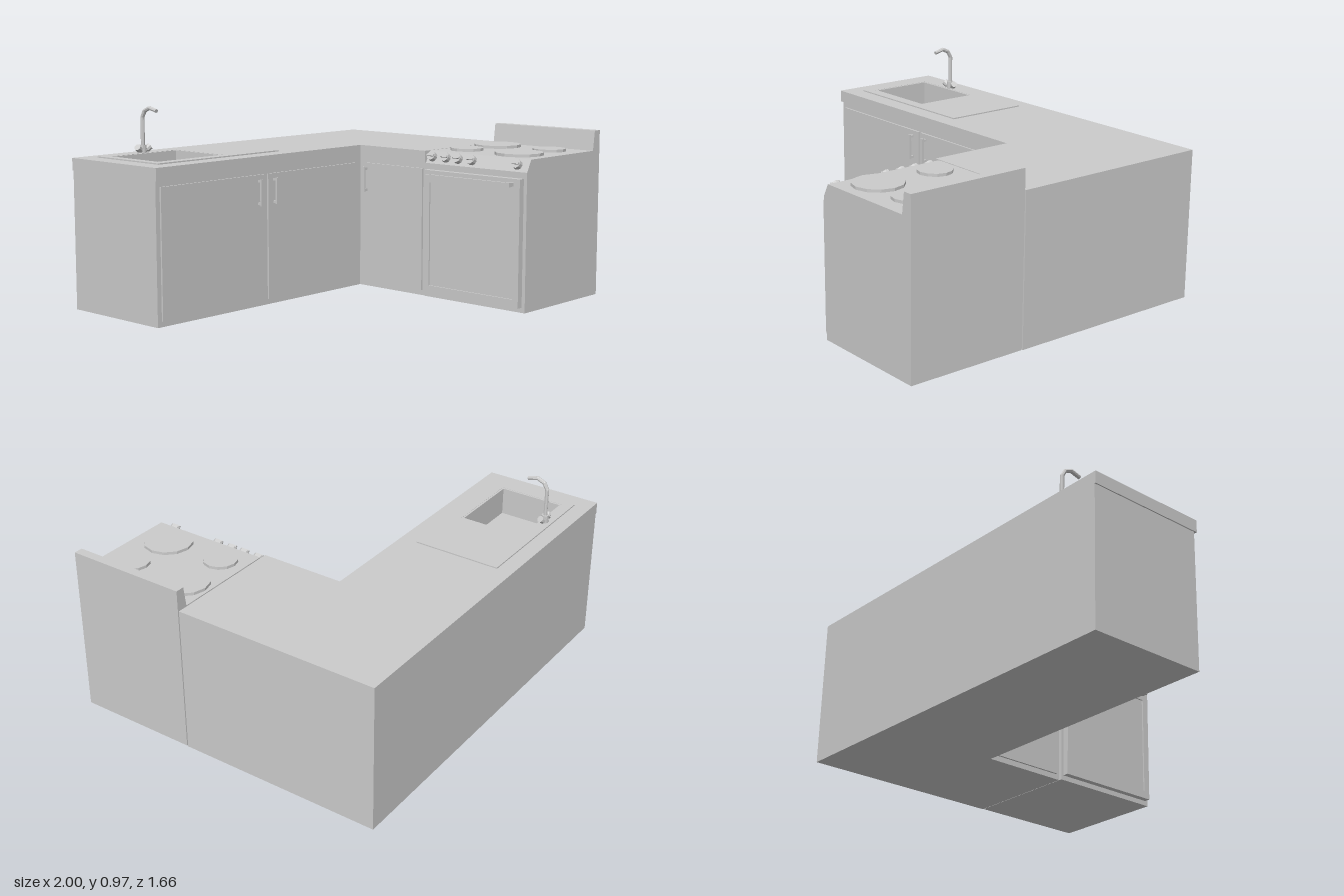
import * as THREE from 'three';

const mat = new THREE.MeshStandardMaterial({ color: 0xcccccc, flatShading: true, side: THREE.DoubleSide });

export function createModel() {
  const root = new THREE.Group();
  root.name = 'cornerKitchen';

  const add = (name, geo, parent = root) => {
    const m = new THREE.Mesh(geo, mat);
    m.name = name;
    parent.add(m);
    return m;
  };
  // Box given by its lower and upper bounds
  const box = (name, x0, x1, y0, y1, z0, z1, parent) => {
    const m = add(name, new THREE.BoxGeometry(x1 - x0, y1 - y0, z1 - z0), parent);
    m.position.set((x0 + x1) / 2, (y0 + y1) / 2, (z0 + z1) / 2);
    return m;
  };
  const rod = (name, a, b, r, sides, parent) => {
    const p = new THREE.Vector3(...a), q = new THREE.Vector3(...b), d = q.clone().sub(p);
    const m = add(name, new THREE.CylinderGeometry(r, r, d.length(), sides), parent);
    m.position.copy(p).add(q).multiplyScalar(0.5);
    m.quaternion.setFromUnitVectors(new THREE.Vector3(0, 1, 0), d.normalize());
    return m;
  };
  const rectPath = (x0, x1, z0, z1) => [[x0, z0], [x1, z0], [x1, z1], [x0, z1]]
    .map(([x, z]) => new THREE.Vector2(x, -z));
  // Horizontal slab from an outline in x, z with an optional hole
  const slab = (name, outline, y0, y1, hole, parent) => {
    const s = new THREE.Shape(outline);
    if (hole) s.holes.push(new THREE.Path(hole));
    const g = new THREE.ExtrudeGeometry(s, { depth: y1 - y0, bevelEnabled: false });
    g.rotateX(-Math.PI / 2).translate(0, y0, 0);
    return add(name, g, parent);
  };
  // L outline, with its two inner fronts set back by e
  const ell = (e) => [[-1 + e / 2, -0.83], [1, -0.83], [1, 0.21], [0.38 + e, 0.21],
    [0.38 + e, -0.22 - e], [-1 + e / 2, -0.22 - e]].map(([x, z]) => new THREE.Vector2(x, -z));

  // Cabinets and worktop, cut out around the sink bowl
  const bowl = rectPath(-0.87, -0.46, -0.70, -0.36);
  slab('cabinetBody', ell(0.012), 0.003, 0.6, null);
  slab('cabinetTopRail', ell(0.012), 0.6, 0.68, bowl);
  slab('worktop', ell(0), 0.68, 0.74, bowl);

  // Cabinet doors with bar handles
  const doors = new THREE.Group();
  doors.name = 'cabinetDoors';
  root.add(doors);
  for (const [x0, x1, hx] of [[-0.97, -0.31, -0.355], [-0.29, 0.35, -0.25]]) {
    box('door', x0, x1, 0.03, 0.65, -0.235, -0.223, doors);
    box('doorHandle', hx - 0.007, hx + 0.007, 0.5, 0.63, -0.206, -0.196, doors);
    for (const y of [0.51, 0.62]) box('handlePost', hx - 0.006, hx + 0.006, y - 0.006, y + 0.006, -0.225, -0.2, doors);
  }
  box('sideDoor', 0.382, 0.395, 0.03, 0.65, -0.2, 0.19, doors);
  box('sideDoorHandle', 0.357, 0.366, 0.5, 0.63, -0.187, -0.173, doors);
  for (const y of [0.51, 0.62]) box('handlePost', 0.36, 0.385, y - 0.006, y + 0.006, -0.186, -0.174, doors);

  // Sink with drainer board, bowl lining and drain
  const sink = new THREE.Group();
  sink.name = 'sink';
  root.add(sink);
  slab('sinkPlate', rectPath(-0.91, -0.13, -0.75, -0.31), 0.738, 0.746, bowl, sink);
  slab('bowlWalls', bowl, 0.6, 0.745, rectPath(-0.86, -0.47, -0.69, -0.37), sink);
  box('bowlFloor', -0.865, -0.465, 0.598, 0.606, -0.695, -0.365, sink);
  rod('drain', [-0.65, 0.604, -0.6], [-0.65, 0.612, -0.6], 0.033, 12, sink);

  // Faucet: body, two tilted taps and a bent spout
  const faucet = new THREE.Group();
  faucet.name = 'faucet';
  root.add(faucet);
  const fx = -0.66, fz = -0.715;
  rod('faucetBase', [fx, 0.74, fz], [fx, 0.785, fz], 0.018, 10, faucet);
  for (const s of [-1, 1]) {
    rod('tapStem', [fx, 0.75, fz], [fx + s * 0.03, 0.768, fz + 0.004], 0.011, 8, faucet);
    rod('tapKnob', [fx + s * 0.022, 0.762, fz], [fx + s * 0.04, 0.776, fz + 0.006], 0.017, 8, faucet);
  }
  const spout = new THREE.CurvePath();
  const pts = [[0.77, -0.715], [0.92, -0.715], [0.952, -0.697], [0.968, -0.66], [0.955, -0.61]]
    .map(([y, z]) => new THREE.Vector3(fx, y, z));
  pts.slice(1).forEach((p, i) => {
    rod('spout', pts[i].toArray(), p.toArray(), 0.01, 8, faucet);
    const joint = add('spoutJoint', new THREE.SphereGeometry(0.01, 8, 6), faucet);
    if (i < pts.length - 2) joint.position.copy(p); else joint.position.copy(pts[i]);
  });

  // Cooker body: sloped control strip at the front and a raised back panel
  const stove = new THREE.Group();
  stove.name = 'stove';
  root.add(stove);
  const profile = [[0.38, 0.005], [1, 0.005], [1, 0.84], [0.955, 0.84], [0.942, 0.74], [0.412, 0.74], [0.38, 0.68]];
  const body = new THREE.ExtrudeGeometry(new THREE.Shape(profile.map((p) => new THREE.Vector2(...p))),
    { depth: 0.612, bevelEnabled: false });
  body.translate(0, 0, 0.216);
  add('stoveBody', body, stove);

  // Hotplates
  for (const [x, z, r] of [[0.545, 0.345, 0.083], [0.795, 0.35, 0.12], [0.55, 0.66, 0.12], [0.79, 0.67, 0.083]])
    rod('hotplate', [x, 0.738, z], [x, 0.754, z], r, 12, stove);

  // Control knobs standing square to the sloped strip
  for (const z of [0.25, 0.335, 0.41, 0.495, 0.765]) {
    rod('knob', [0.398, 0.709, z], [0.376, 0.721, z], 0.024, 10, stove);
    const grip = box('knobGrip', -0.006, 0.006, -0.005, 0.005, -0.02, 0.02, stove);
    grip.position.set(0.373, 0.722, z);
    grip.rotation.z = -0.49;
  }

  // Oven door: raised frame around a recessed pane, with a full-width handle
  box('ovenPane', 0.356, 0.381, 0.04, 0.64, 0.24, 0.8, stove);
  for (const [y0, y1] of [[0.03, 0.07], [0.59, 0.65]]) box('ovenFrameRail', 0.348, 0.38, y0, y1, 0.23, 0.81, stove);
  for (const [z0, z1] of [[0.23, 0.265], [0.775, 0.81]]) box('ovenFrameSide', 0.348, 0.38, 0.07, 0.59, z0, z1, stove);
  box('ovenHandle', 0.309, 0.322, 0.612, 0.634, 0.262, 0.775, stove);
  for (const z of [0.269, 0.768]) box('ovenHandlePost', 0.315, 0.35, 0.614, 0.632, z - 0.007, z + 0.007, stove);

  return root;
}
